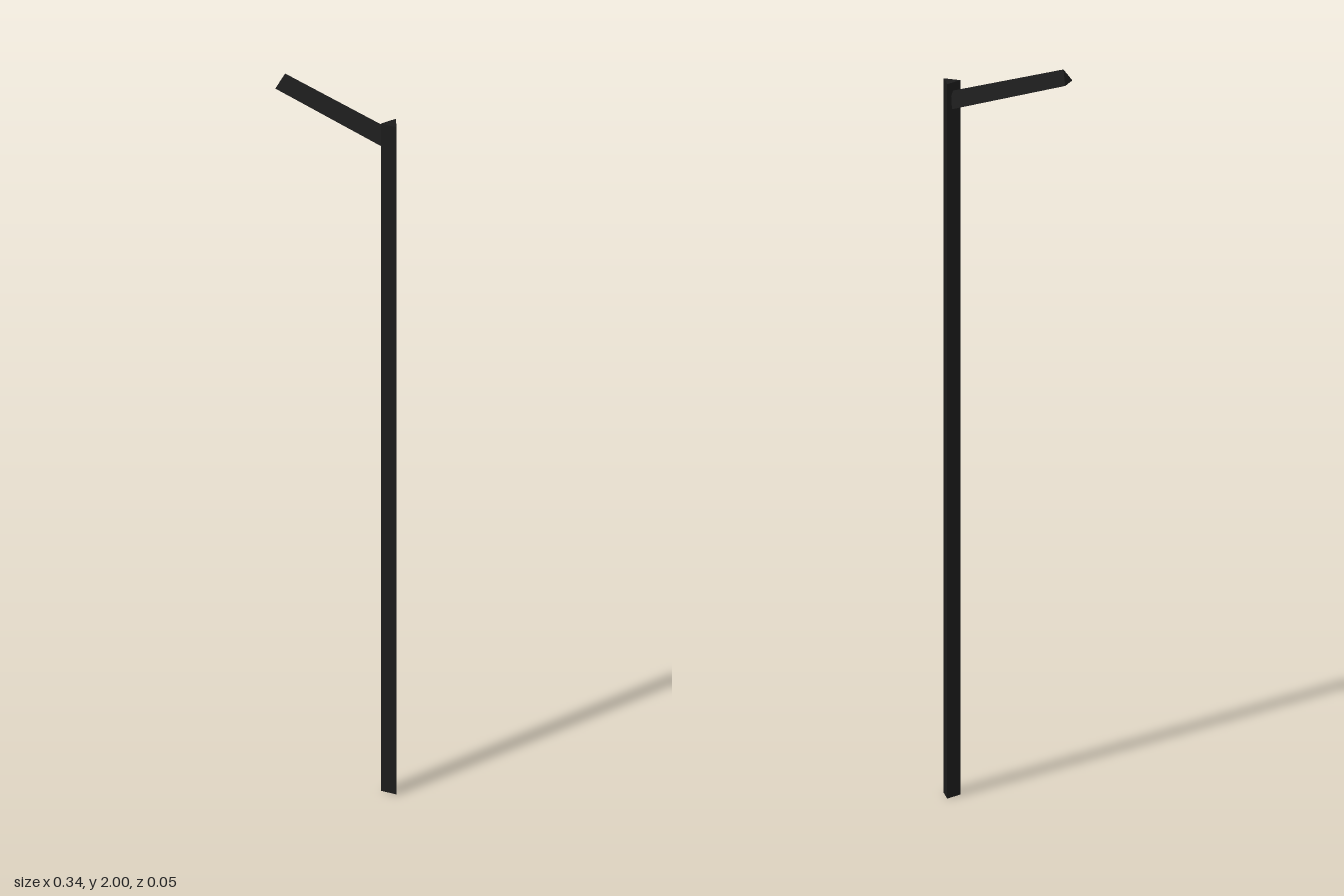
import * as THREE from 'three';

// Three-sided prism between two triangular sections (counter-clockwise seen from the end section).
// Group 0: first side, group 1: the other sides and the caps.
function triPrism(a, b) {
  const pos = [];
  const tri = (...corners) => corners.forEach((c) => pos.push(...c));
  for (let i = 0; i < 3; i++) {
    const j = (i + 1) % 3;
    tri(a[i], a[j], b[j]);
    tri(a[i], b[j], b[i]);
  }
  tri(a[0], a[2], a[1]);
  tri(b[0], b[1], b[2]);
  const geo = new THREE.BufferGeometry();
  geo.setAttribute('position', new THREE.Float32BufferAttribute(pos, 3));
  geo.addGroup(0, 6, 0);
  geo.addGroup(6, 18, 1);
  geo.computeVertexNormals();
  return geo;
}

export function createModel() {
  const model = new THREE.Group();
  model.name = 'streetLamp';

  const darkMetal = new THREE.MeshStandardMaterial({ color: 0x1b1b1b, side: THREE.DoubleSide });
  darkMetal.name = 'darkMetal';
  const lampPanel = new THREE.MeshStandardMaterial({ color: 0xffffff, side: THREE.DoubleSide });
  lampPanel.name = 'lampPanel';

  // Upright pole with a flat front and an edge at the back
  const section = [[0.127, 0.019], [0.172, 0.019], [0.149, -0.021]];
  const level = (y) => section.map(([x, z]) => [x, y, z]);
  const pole = new THREE.Mesh(triPrism(level(0), level(1.933)), [darkMetal, darkMetal]);
  pole.name = 'pole';
  model.add(pole);

  // Rising arm with its ridge on top and a pale lamp underside
  const inner = [[0.135, 1.868, -0.025], [0.131, 1.868, 0.021], [0.145, 1.909, -0.003]];
  const outer = [[-0.169, 1.964, -0.023], [-0.173, 1.964, 0.023], [-0.157, 2, -0.001]];
  const arm = new THREE.Mesh(triPrism(inner, outer), [lampPanel, darkMetal]);
  arm.name = 'lampArm';
  model.add(arm);

  return model;
}
